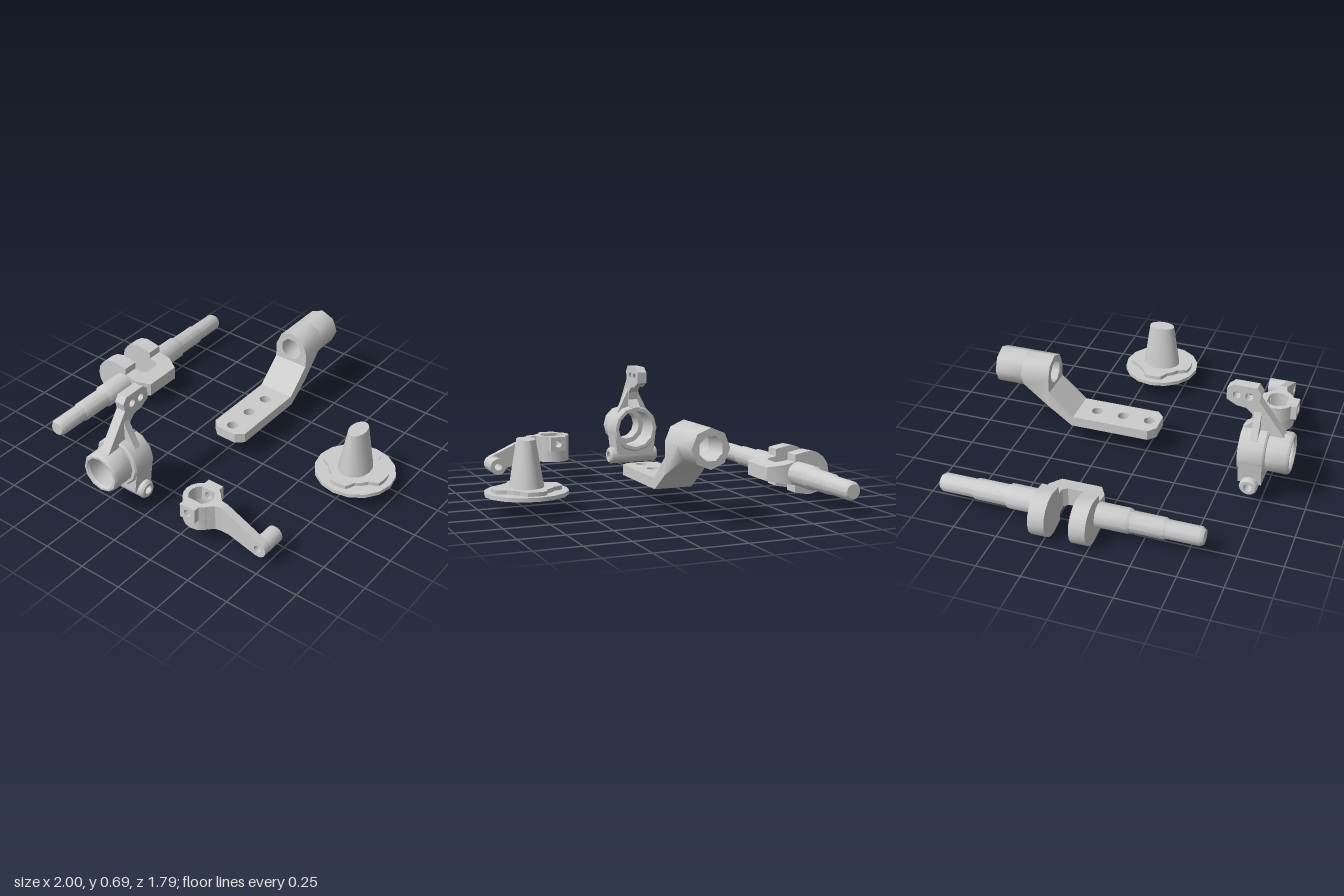
import * as THREE from 'three';
import { toCreasedNormals } from 'three/addons/utils/BufferGeometryUtils.js';

const mat = new THREE.MeshStandardMaterial({ color: 0xcccccc, side: THREE.DoubleSide });

function add(group, name, geo, x = 0, y = 0, z = 0, crease = 0.6) {
  const mesh = new THREE.Mesh(toCreasedNormals(geo, crease), mat);
  mesh.name = name;
  mesh.position.set(x, y, z);
  group.add(mesh);
  return mesh;
}

// Points along an elliptical arc
function arc(cx, cy, rx, ry = rx, n = 12, a0 = 0, a1 = Math.PI * 2) {
  const full = Math.abs(a1 - a0 - Math.PI * 2) < 1e-6;
  return Array.from({ length: full ? n : n + 1 }, (_, i) => {
    const a = a0 + (a1 - a0) * i / n;
    return [cx + rx * Math.cos(a), cy + ry * Math.sin(a)];
  });
}

// Outline extruded about its middle; plane is 'xy', 'zy' or 'xz'
function slab(pts, depth, holes = [], plane = 'xy') {
  const vec = l => l.map(p => new THREE.Vector2(p[0], p[1]));
  const shape = new THREE.Shape(vec(pts));
  holes.forEach(h => shape.holes.push(new THREE.Path(vec(h))));
  const geo = new THREE.ExtrudeGeometry(shape, { depth, bevelEnabled: false });
  geo.translate(0, 0, -depth / 2);
  if (plane === 'zy') geo.rotateY(-Math.PI / 2);
  if (plane === 'xz') geo.rotateX(Math.PI / 2);
  return geo;
}

// Profile of [radius, z] turned about the z axis
function turned(pts, sides) {
  const geo = new THREE.LatheGeometry(pts.map(p => new THREE.Vector2(p[0], p[1])), sides);
  return geo.rotateX(Math.PI / 2);
}

// Rule applied to every vertex
function bend(geo, rule) {
  const p = geo.attributes.position, v = new THREE.Vector3();
  for (let i = 0; i < p.count; i++) {
    rule(v.fromBufferAttribute(p, i));
    p.setXYZ(i, v.x, v.y, v.z);
  }
  return geo;
}

function crankshaft() {
  const g = new THREE.Group();
  g.name = 'crankshaft';
  const mid = -0.155;
  const half = [[0.07, 0.07], [0.07, 0.335], [0.06, 0.35], [0.06, 0.53], [0.053, 0.545], [0.053, 0.725], [0.04, 0.745], [0, 0.745]];
  for (const s of [1, -1]) {
    const journal = add(g, 'steppedShaft', turned([[0, 0.07], ...half], 12), -0.8, 0.13, mid);
    if (s < 0) journal.rotation.y = Math.PI;
    // Counterweight with a straight cut beside the crank throw
    const web = [[-0.78, 0.24], ...arc(-0.87, 0.13, 0.13, 0.127, 10, 1.22, 5.06), [-0.78, 0.02]];
    add(g, 'counterweight', slab(web, 0.092), 0, 0, mid + s * 0.114);
  }
  // Tapered throw bridging the two webs
  const outline = [[-0.78, -0.16], [-0.7, -0.16], [-0.62, -0.115], [-0.62, 0.115], [-0.7, 0.16], [-0.78, 0.16],
    [-0.78, 0.068], [-0.73, 0.068], [-0.71, 0.045], [-0.71, -0.045], [-0.73, -0.068], [-0.78, -0.068]];
  const throwGeo = bend(slab(outline, 2, [], 'xz'), v => {
    v.y *= THREE.MathUtils.mapLinear(v.x, -0.78, -0.62, 0.067, 0.04);
  });
  add(g, 'crankThrow', throwGeo, 0, 0.13, mid);
  return g;
}

function tubeBracket() {
  const g = new THREE.Group();
  g.name = 'tubeBracket';
  const w = 0.107, x = 0.037;
  const plate = [[-w, -0.425], [w, -0.425], [w, 0.03], [w - 0.045, 0.07], [-w + 0.045, 0.07], [-w, 0.03]];
  const holes = [0.007, -0.153, -0.313].map(z => arc(0, z, 0.033));
  add(g, 'mountingPlate', slab(plate, 0.06, holes, 'xz'), x, 0.16, 0);
  const slope = [[-0.425, 0.19], [-0.57, 0.325], [-0.57, 0.23], [-0.435, 0.13], [-0.425, 0.13]];
  add(g, 'slopingNeck', slab(slope, 2 * w, [], 'zy'), x, 0, 0);
  // Octagonal tube whose front half blends into the neck
  const bore = arc(0, 0, 0.068, 0.068, 8, Math.PI / 8, Math.PI * 2.125);
  const oct = arc(0, 0, w, w, 8);
  add(g, 'tubeRear', slab(oct, 0.16, [bore]), x, 0.41, -0.82, 0.85);
  const blend = bend(slab(oct, 0.17, [bore]), v => {
    if (v.z > 0 && v.y < -0.01 && Math.hypot(v.x, v.y) > 0.09) {
      v.x = Math.sign(Math.round(v.x * 100)) * w;
      v.y = -0.18;
    }
  });
  add(g, 'tubeFront', blend, x, 0.41, -0.655, 0.85);
  return g;
}

function flangedCone() {
  const g = new THREE.Group();
  g.name = 'flangedCone';
  g.position.set(0.77, 0, -0.155);
  const lobed = r => Array.from({ length: 48 }, (_, i) => {
    const a = i / 48 * Math.PI * 2;
    const k = r + 0.02 * THREE.MathUtils.clamp(2 * Math.cos(4 * a), -1, 1);
    return [k * Math.cos(a), k * Math.sin(a)];
  });
  add(g, 'flange', slab(arc(0, 0, 0.228, 0.225, 16), 0.022, [lobed(0.155)], 'xz'), 0, 0.111, 0);
  add(g, 'lobedPlate', slab(lobed(0.17), 0.022, [arc(0, 0, 0.092, 0.111, 16)], 'xz'), 0, 0.133, 0);
  // Hollow oval cone, open underneath
  const cone = new THREE.LatheGeometry([[1, 0], [1, 1], [0, 1]].map(p => new THREE.Vector2(...p)), 16);
  bend(cone, v => {
    v.x *= THREE.MathUtils.lerp(0.096, 0.048, v.y);
    v.z *= THREE.MathUtils.lerp(0.115, 0.077, v.y);
    v.y = 0.125 + v.y * 0.275;
  });
  add(g, 'cone', cone);
  return g;
}

function clampArm() {
  const g = new THREE.Group();
  g.name = 'clampArm';
  const cx = 0.35, cz = 0.688, H = Math.PI / 2;
  add(g, 'clampRing', slab(arc(0, 0, 0.1, 0.1, 16), 0.07, [arc(0, 0, 0.07, 0.07, 16)], 'xz'), cx, 0.165, cz);
  for (const s of [1, -1]) {
    // Upper ring halves leave room for the drilled lugs
    const cheek = [...arc(0, 0, 0.1, 0.1, 6, 0.49 - H, H - 0.49), ...arc(0, 0, 0.07, 0.07, 5, H - 0.735, 0.735 - H)]
      .map(p => [p[0] * s, p[1]]);
    add(g, 'ringCheek', slab(cheek, 0.085, [], 'xz'), cx, 0.2425, cz);
    const lug = [[-0.048, -0.0425], [0.048, -0.0425], [0.048, 0.0425], [-0.048, 0.0425]];
    add(g, 'drilledLug', slab(lug, 0.066, [arc(0, 0, 0.022)]), cx, 0.2425, cz + s * 0.089);
  }
  const flare = [[0.43, 0.63], [0.46, 0.66], [0.5, 0.667], [0.5, 0.709], [0.46, 0.716], [0.43, 0.746]];
  add(g, 'armRoot', slab(flare, 0.155, [], 'xz'), 0, 0.2075, 0);
  const ex = 0.727, ey = 0.13, hole = arc(ex, ey, 0.022);
  const arm = [[0.5, 0.13], [0.5, 0.285], ...arc(ex, ey, 0.048, 0.048, 8, 1.13, -1.8), [0.545, 0.13]];
  add(g, 'arm', slab(arm, 0.045, [hole]), 0, 0, 0.6875);
  add(g, 'endBoss', slab(arc(ex, ey, 0.048, 0.048, 14), 0.11, [hole]), 0, 0, 0.611);
  return g;
}

function bearingCarrier() {
  const g = new THREE.Group();
  g.name = 'bearingCarrier';
  g.position.x = -0.175;
  // Stepped barrel with a wide rear pocket
  const barrel = [[0.115, 0.615], [0.135, 0.615], [0.143, 0.625], [0.143, 0.755], [0.135, 0.765], [0.117, 0.765], [0.117, 0.88],
    [0.108, 0.893], [0.095, 0.893], [0.085, 0.88], [0.085, 0.78], [0.115, 0.78], [0.115, 0.615]];
  add(g, 'barrel', turned(barrel, 12), 0, 0.3, 0);
  // Saddle joining the barrel to the cross tube
  const saddle = [[-0.12, 0.14], [0.12, 0.14], [0.138, 0.29], ...arc(0, 0.3, 0.125, 0.125, 10, 0, -Math.PI), [-0.138, 0.29]];
  add(g, 'saddle', slab(saddle, 0.13), 0, 0, 0.69);
  const tube = [[0.025, -0.157], [0.042, -0.157], [0.052, -0.145], [0.052, 0.145], [0.042, 0.157], [0.025, 0.157], [0.025, -0.157]];
  add(g, 'crossTube', turned(tube, 12).rotateY(Math.PI / 2), 0, 0.132, 0.69);
  // Hooked upright with two holes
  const upright = [[0.85, 0.405], [0.7, 0.61], [0.71, 0.655], [0.685, 0.69], [0.555, 0.69], [0.52, 0.66], [0.52, 0.595], [0.575, 0.565],
    [0.63, 0.558], [0.665, 0.525], [0.67, 0.48], [0.62, 0.435], [0.62, 0.42]];
  add(g, 'upright', slab(upright, 0.058, [arc(0.643, 0.63, 0.022), arc(0.575, 0.63, 0.022)], 'zy'));
  for (const s of [1, -1]) {
    const web = [[0.025 * s, 0.56], [0.035 * s, 0.53], [0.1 * s, 0.4], [0.025 * s, 0.425]];
    add(g, 'gusset', slab(web, 0.04), 0, 0, 0.695);
  }
  return g;
}

export function createModel() {
  const model = new THREE.Group();
  model.name = 'mechanicalParts';
  model.add(crankshaft(), tubeBracket(), flangedCone(), clampArm(), bearingCarrier());
  return model;
}
